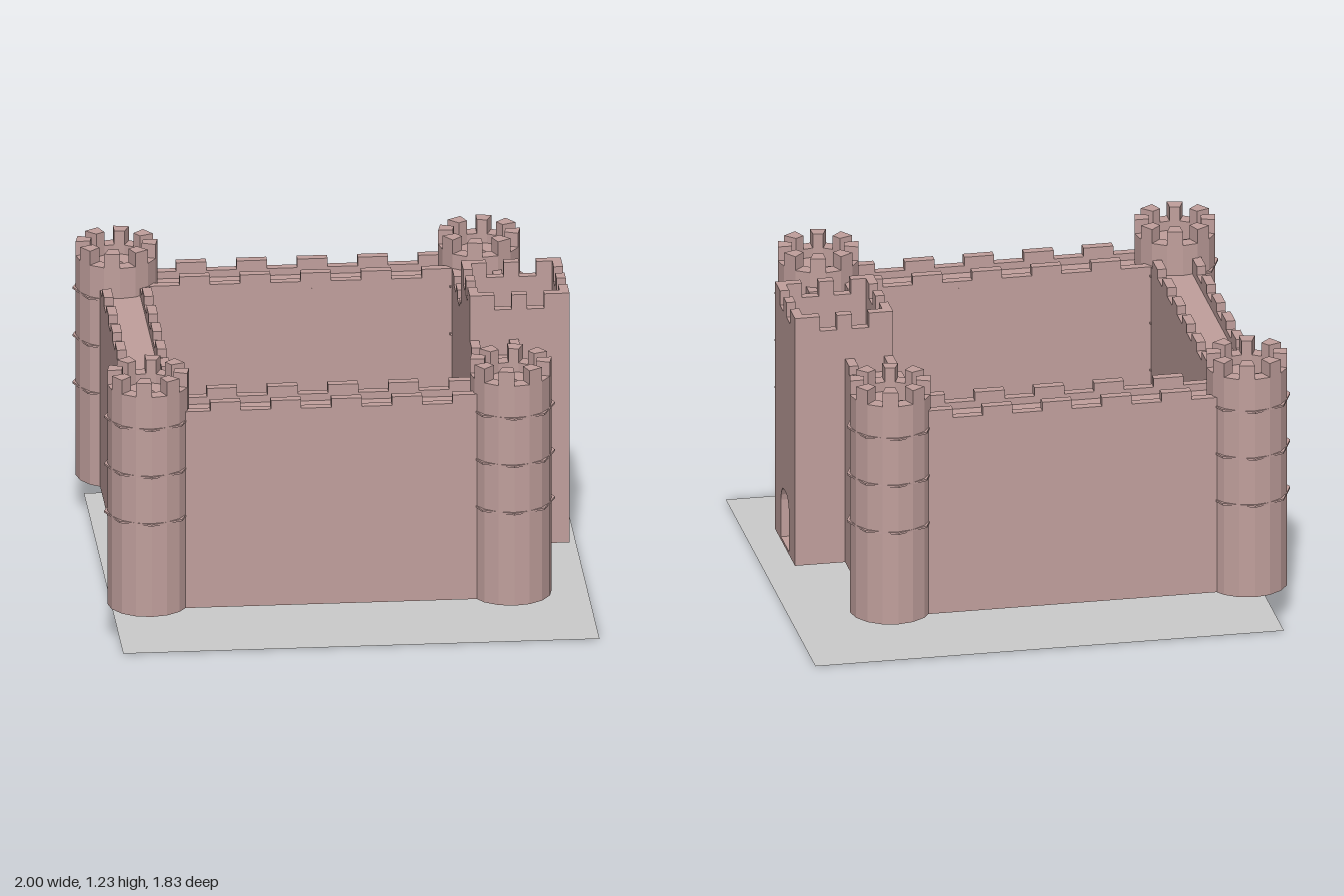
import * as THREE from 'three';

const stone = new THREE.MeshStandardMaterial({ color: 0xc09f9c, flatShading: true });
const stepStone = new THREE.MeshStandardMaterial({ color: 0xc09f9c, flatShading: true, side: THREE.DoubleSide });
const BASE = 0.15;

function add(parent, name, geometry, material = stone) {
  const mesh = new THREE.Mesh(geometry, material);
  mesh.name = name;
  parent.add(mesh);
  return mesh;
}

// Box given by its bounds
function block(parent, name, x0, x1, y0, y1, z0, z1) {
  const mesh = add(parent, name, new THREE.BoxGeometry(x1 - x0, y1 - y0, z1 - z0));
  mesh.position.set((x0 + x1) / 2, (y0 + y1) / 2, (z0 + z1) / 2);
}

function arc(r, a0, a1, n) {
  return Array.from({ length: n + 1 }, (_, i) => {
    const a = a0 + ((a1 - a0) * i) / n;
    return new THREE.Vector2(Math.cos(a) * r, -Math.sin(a) * r);
  });
}

// Upright prism from a plan shape
function prism(shape, y0, y1) {
  return new THREE.ExtrudeGeometry(shape, { depth: y1 - y0, bevelEnabled: false })
    .rotateX(-Math.PI / 2).translate(0, y0, 0);
}

function sector(rIn, rOut, a0, a1, n, y0, y1) {
  return prism(new THREE.Shape([...arc(rOut, a0, a1, n), ...arc(rIn, a1, a0, n)]), y0, y1);
}

function ring(rIn, rOut, n, y0, y1) {
  const shape = new THREE.Shape(arc(rOut, 0, Math.PI * 2, n).slice(0, n));
  shape.holes.push(new THREE.Path(arc(rIn, 0, Math.PI * 2, n).slice(0, n).reverse()));
  return prism(shape, y0, y1);
}

function createTower(x, z) {
  const tower = new THREE.Group();
  tower.name = 'cornerTower';
  tower.position.set(x, 0, z);
  const R = 0.166, r = 0.107, floorY = 1.06, seg = Math.PI / 8;
  add(tower, 'towerShell', ring(r, R, 16, BASE, 1.1));
  for (let i = 0; i < 8; i++) {
    add(tower, 'towerMerlon', sector(r, R, 2 * i * seg, (2 * i + 1) * seg, 1, 1.1, 1.16));
  }
  // thin bands whose corners poke out of the shell
  for (const y of [0.55, 0.755, 0.96]) {
    add(tower, 'towerBand', ring(0.13, 0.179, 8, y - 0.004, y + 0.004));
  }
  // three-quarter floor leaving the stair opening
  add(tower, 'towerFloor', sector(0.027, r, Math.PI, Math.PI * 2.5, 12, floorY - 0.02, floorY));
  // spiral stair climbing three turns
  const steps = 96, stepAngle = Math.PI / 16, rise = (floorY - BASE) / steps;
  const stepGeo = sector(0.027, r, 0, stepAngle, 1, -0.014, 0);
  for (let i = 0; i < steps; i++) {
    const step = add(tower, 'stairStep', stepGeo, stepStone);
    step.position.y = BASE + 0.014 + i * (rise - 0.014 / steps);
    step.rotation.y = -(Math.PI + i * stepAngle);
  }
  return tower;
}

// Wall with a sunken walk between two crenellated parapets; merlons are [start, end] along its length
function createWall(name, axis, from, to, c0, c1, merlons) {
  const wall = new THREE.Group();
  wall.name = name;
  const t = 0.038;
  const put = (part, a, b, y0, y1, p, q) => axis === 'x'
    ? block(wall, part, a, b, y0, y1, p, q)
    : block(wall, part, p, q, y0, y1, a, b);
  put('wallBody', from, to, BASE, 0.97, c0, c1);
  for (const [p, q] of [[c0, c0 + t], [c1 - t, c1]]) {
    put('parapet', from, to, 0.97, 1.0, p, q);
    for (const [a, b] of merlons) {
      const s = Math.max(a, from), e = Math.min(b, to);
      if (e > s) put('wallMerlon', s, e, 1.0, 1.037, p, q);
    }
  }
  return wall;
}

function createGatehouse() {
  const gate = new THREE.Group();
  gate.name = 'gatehouse';
  const x0 = 0.535, x1 = 0.94, z0 = -0.205, z1 = 0.202, t = 0.038, top = 1.167, high = 1.23;
  // end walls with an arched doorway
  const face = new THREE.Shape([[z0, BASE], [z1, BASE], [z1, top], [z0, top]]
    .map(([z, y]) => new THREE.Vector2(-z, y)).reverse());
  const half = [[0.083, 0.163], [0.083, 0.325], [0.077, 0.35], [0.064, 0.374], [0.047, 0.39], [0.03, 0.395]];
  const door = [...half, ...half.map(([z, y]) => [-z, y]).reverse()];
  face.holes.push(new THREE.Path(door.map(([z, y]) => new THREE.Vector2(z, y))));
  for (const x of [x0, x1 - t]) {
    add(gate, 'doorWall', new THREE.ExtrudeGeometry(face, { depth: t, bevelEnabled: false })
      .rotateY(Math.PI / 2).translate(x, 0, 0));
    for (const [a, b] of [[z0, -0.1], [-0.03, 0.03], [0.1, z1]]) {
      block(gate, 'gateMerlon', x, x + t, top, high, a, b);
    }
  }
  // side walls
  for (const z of [z0, z1 - t]) {
    block(gate, 'gateSideWall', x0 + t, x1 - t, BASE, top, z, z + t);
    for (const [a, b] of [[x0 + t, 0.635], [0.705, 0.767], [0.837, x1 - t]]) {
      block(gate, 'gateMerlon', a, b, top, high, z, z + t);
    }
  }
  return gate;
}

export function createModel() {
  const castle = new THREE.Group();
  castle.name = 'castle';

  // ground sheet
  const ground = add(castle, 'groundSheet', new THREE.PlaneGeometry(1.935, 1.83).rotateX(-Math.PI / 2),
    new THREE.MeshStandardMaterial({ color: 0xcccccc, side: THREE.DoubleSide }));
  ground.position.set(0.0325, 0, -0.003);

  // corner towers
  const xl = -0.818, xr = 0.655, zf = 0.733, zb = -0.738, end = 0.112;
  for (const x of [xl, xr]) for (const z of [zf, zb]) castle.add(createTower(x, z));

  // curtain walls
  const row = (start, width, pitch, n) =>
    Array.from({ length: n }, (_, i) => [start + i * pitch, start + i * pitch + width]);
  const long = row(-0.572, 0.123, 0.246, 5);
  castle.add(createWall('frontWall', 'x', xl + end, xr - end, 0.612, 0.81, long));
  castle.add(createWall('backWall', 'x', xl + end, xr - end, -0.82, -0.622, long));
  castle.add(createWall('sideWall', 'z', zb + end, zf - end, -0.897, -0.696, row(-0.513, 0.1, 0.2, 6)));
  const near = [[0.2, 0.287], [0.375, 0.45], [0.53, 0.63]];
  castle.add(createWall('gateWall', 'z', 0.202, zf - end, 0.535, 0.733, near));
  castle.add(createWall('gateWall', 'z', zb + end, -0.205, 0.535, 0.733, near.map(([a, b]) => [-b, -a])));

  castle.add(createGatehouse());
  return castle;
}
